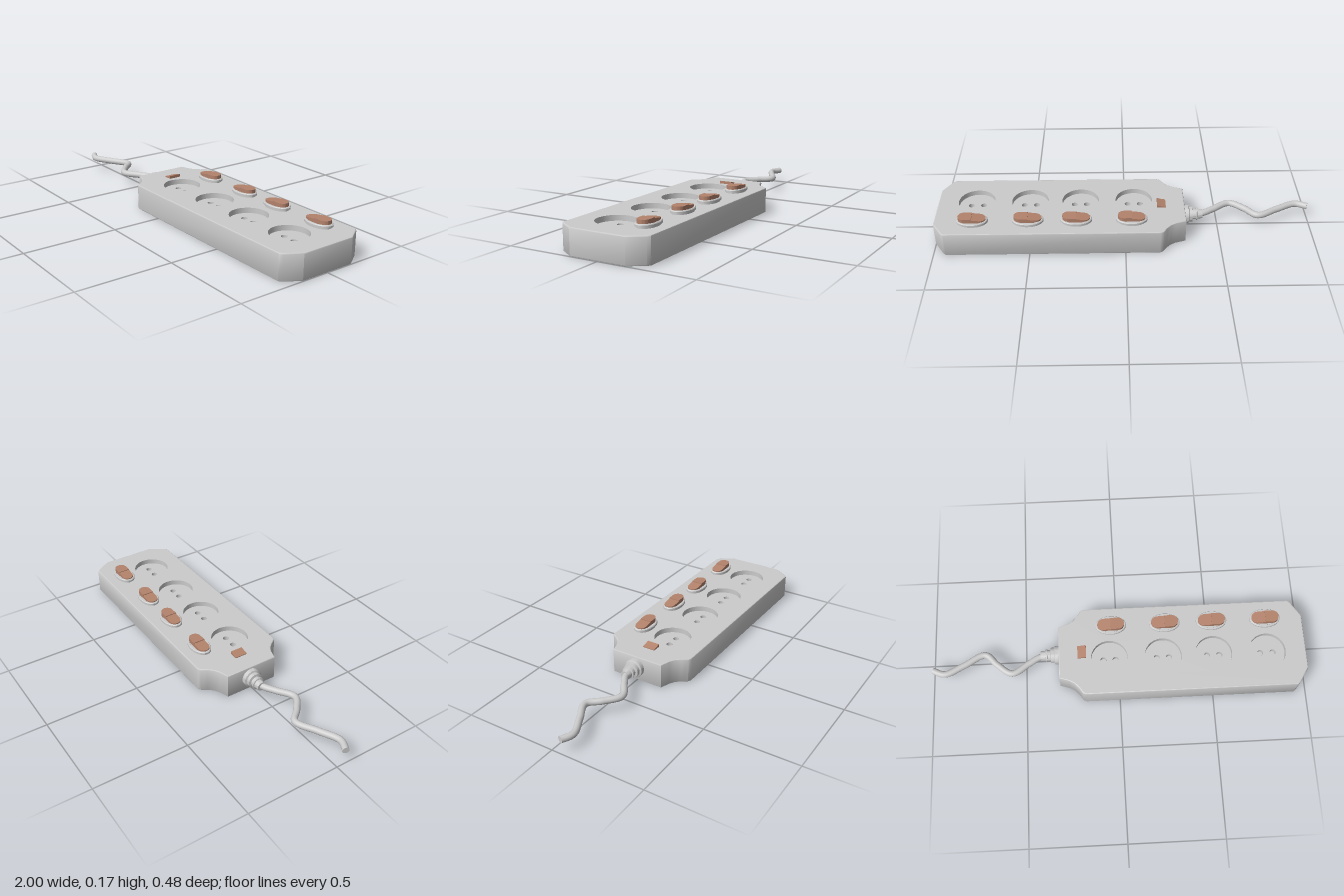
import * as THREE from 'three';
import { toCreasedNormals } from 'three/addons/utils/BufferGeometryUtils.js';

const grey = new THREE.MeshStandardMaterial({ color: 0xcccccc });
const greyOpen = new THREE.MeshStandardMaterial({ color: 0xcccccc, side: THREE.DoubleSide });
const brown = new THREE.MeshStandardMaterial({ color: 0xb4836c });

const TOP = 0.135, SOCKET_R = 0.098, SOCKET_Z = 0.046, FLOOR = 0.107;
const PIN_R = 0.016, PIN_X = 0.033, PIN_FLOOR = 0.08;
const socketX = [-0.048, 0.238, 0.508, 0.794];
const switchX = [-0.033, 0.256, 0.508, 0.797];

function add(parent, name, geometry, material, x = 0, y = 0, z = 0) {
  const mesh = new THREE.Mesh(geometry, material);
  mesh.name = name;
  mesh.position.set(x, y, z);
  parent.add(mesh);
  return mesh;
}

// Body outline, counter-clockwise, shrunk towards its middle by an inset
function outline(inset) {
  const half = [[1, 0.15], [0.95, 0.228], [0.936, 0.24], [-0.18, 0.24], [-0.196, 0.232],
    [-0.215, 0.203], [-0.238, 0.178], [-0.265, 0.162], [-0.318, 0.145]];
  const pts = [...half, ...half.map(([x, y]) => [x, -y]).reverse()];
  return pts.map(([x, y]) => new THREE.Vector2(
    0.34 + (x - 0.34) * (1 - inset / 0.66), y * (1 - inset / 0.24)));
}

// Side wall with small rounded edges, lofted through a few levels
function wallGeometry() {
  const rings = [[0, 0.005], [0.0015, 0.0015], [0.005, 0], [TOP - 0.005, 0], [TOP - 0.0015, 0.0015], [TOP, 0.005]]
    .map(([y, inset]) => outline(inset).map(p => new THREE.Vector3(p.x, y, -p.y)));
  const tris = [];
  for (let r = 0; r < rings.length - 1; r++) {
    const lo = rings[r], hi = rings[r + 1];
    for (let i = 0; i < lo.length; i++) {
      const j = (i + 1) % lo.length;
      tris.push(lo[i], lo[j], hi[j], lo[i], hi[j], hi[i]);
    }
  }
  return toCreasedNormals(new THREE.BufferGeometry().setFromPoints(tris), 0.55);
}

function circlePath(x, y, r) {
  return new THREE.Path().absarc(x, y, r, 0, Math.PI * 2, true);
}

// One half of the pill-shaped rocker, its top set by a height rule
function rockerHalf(side, topAt) {
  const L = 0.072, r = 0.032, s = new THREE.Shape();
  const a = side > 0 ? -Math.PI / 2 : Math.PI / 2;
  s.moveTo(0, -side * r);
  s.lineTo(side * (L - r), -side * r);
  s.absarc(side * (L - r), 0, r, a, a + Math.PI, false);
  s.lineTo(0, side * r);
  const g = new THREE.ExtrudeGeometry(s, { depth: 1, bevelEnabled: false, curveSegments: 14 });
  g.rotateX(-Math.PI / 2);
  const p = g.attributes.position;
  for (let i = 0; i < p.count; i++) p.setY(i, p.getY(i) > 0.5 ? topAt(p.getX(i)) : 0);
  return toCreasedNormals(g, 0.5);
}

function latheFrom(points, segments = 40) {
  const g = new THREE.LatheGeometry(points.map(([x, y]) => new THREE.Vector2(x, y)), segments);
  return toCreasedNormals(g, 0.5);
}

function createSocket(x) {
  const g = new THREE.Group();
  g.name = 'socket';
  g.position.set(x, 0, SOCKET_Z);
  const depth = TOP - FLOOR;
  add(g, 'socketWall', new THREE.CylinderGeometry(SOCKET_R, SOCKET_R, depth, 48, 1, true), greyOpen, 0, FLOOR + depth / 2);
  const floor = new THREE.Shape().absarc(0, 0, SOCKET_R, 0, Math.PI * 2, false);
  for (const s of [-1, 1]) floor.holes.push(circlePath(s * PIN_X, 0, PIN_R));
  add(g, 'socketFloor', new THREE.ShapeGeometry(floor, 24).rotateX(-Math.PI / 2), grey, 0, FLOOR);
  const pinDepth = FLOOR - PIN_FLOOR;
  for (const s of [-1, 1]) {
    add(g, 'pinHoleWall', new THREE.CylinderGeometry(PIN_R, PIN_R, pinDepth, 24, 1, true), greyOpen, s * PIN_X, PIN_FLOOR + pinDepth / 2);
    add(g, 'pinHoleFloor', new THREE.CircleGeometry(PIN_R, 24).rotateX(-Math.PI / 2), grey, s * PIN_X, PIN_FLOOR);
  }
  return g;
}

function createSwitch(x) {
  const g = new THREE.Group();
  g.name = 'rockerSwitch';
  g.position.set(x, TOP, -0.136);
  // Oval bezel on a narrower foot
  const bezel = latheFrom([[0.047, 0], [0.047, 0.006], [0.052, 0.007], [0.052, 0.017],
    [0.049, 0.021], [0.043, 0.021], [0.041, 0.017], [0, 0.017]]);
  add(g, 'switchBezel', bezel, grey).scale.x = 1.58;
  // Pressed half slopes down, other half stands proud
  add(g, 'rockerRaisedHalf', rockerHalf(1, () => 0.038), brown, 0, 0.002);
  add(g, 'rockerPressedHalf', rockerHalf(-1, px => 0.034 + px * 0.13), brown, 0, 0.002);
  return g;
}

export function createModel() {
  const model = new THREE.Group();
  model.name = 'powerStrip';

  // Housing
  const body = new THREE.Group();
  body.name = 'housing';
  model.add(body);
  add(body, 'housingWall', wallGeometry(), grey);
  const top = new THREE.Shape(outline(0.005));
  for (const x of socketX) top.holes.push(circlePath(x, -SOCKET_Z, SOCKET_R));
  add(body, 'housingTop', new THREE.ShapeGeometry(top, 24).rotateX(-Math.PI / 2), grey, 0, TOP);
  add(body, 'housingBottom', new THREE.ShapeGeometry(new THREE.Shape(outline(0.005))).rotateX(Math.PI / 2), grey);

  for (const x of socketX) model.add(createSocket(x));
  for (const x of switchX) model.add(createSwitch(x));

  // Wedge-shaped main switch
  const wedge = new THREE.Shape([[-0.023, -0.005], [0.023, -0.005], [0.023, 0.015], [0.002, 0.009], [-0.023, 0.004]]
    .map(([x, y]) => new THREE.Vector2(x, y)));
  add(model, 'mainSwitch', new THREE.ExtrudeGeometry(wedge, { depth: 0.068, bevelEnabled: false }), brown, -0.194, TOP, -0.029);

  // Stepped strain relief
  const relief = latheFrom([[0.05, 0], [0.05, 0.022], [0.041, 0.026], [0.041, 0.044], [0.029, 0.047],
    [0.029, 0.062], [0.034, 0.063], [0.034, 0.07], [0.027, 0.072], [0.024, 0.098], [0, 0.098]], 32);
  add(model, 'strainRelief', relief.rotateZ(Math.PI / 2), grey, -0.318, 0.075, -0.007);

  // Wavy cable with closed end
  const path = new THREE.CatmullRomCurve3([[-0.994, 0.05], [-0.93, 0.073], [-0.825, 0.027], [-0.713, -0.025],
    [-0.65, 0.033], [-0.57, 0.086], [-0.48, 0.035], [-0.42, 0.001], [-0.36, -0.007]]
    .map(([x, z]) => new THREE.Vector3(x, 0.075, z)));
  add(model, 'cable', new THREE.TubeGeometry(path, 90, 0.0175, 16), grey);
  const end = add(model, 'cableEnd', new THREE.CircleGeometry(0.0175, 16), grey);
  end.position.copy(path.getPoint(0));
  end.lookAt(path.getPoint(0).sub(path.getTangent(0)));

  return model;
}
